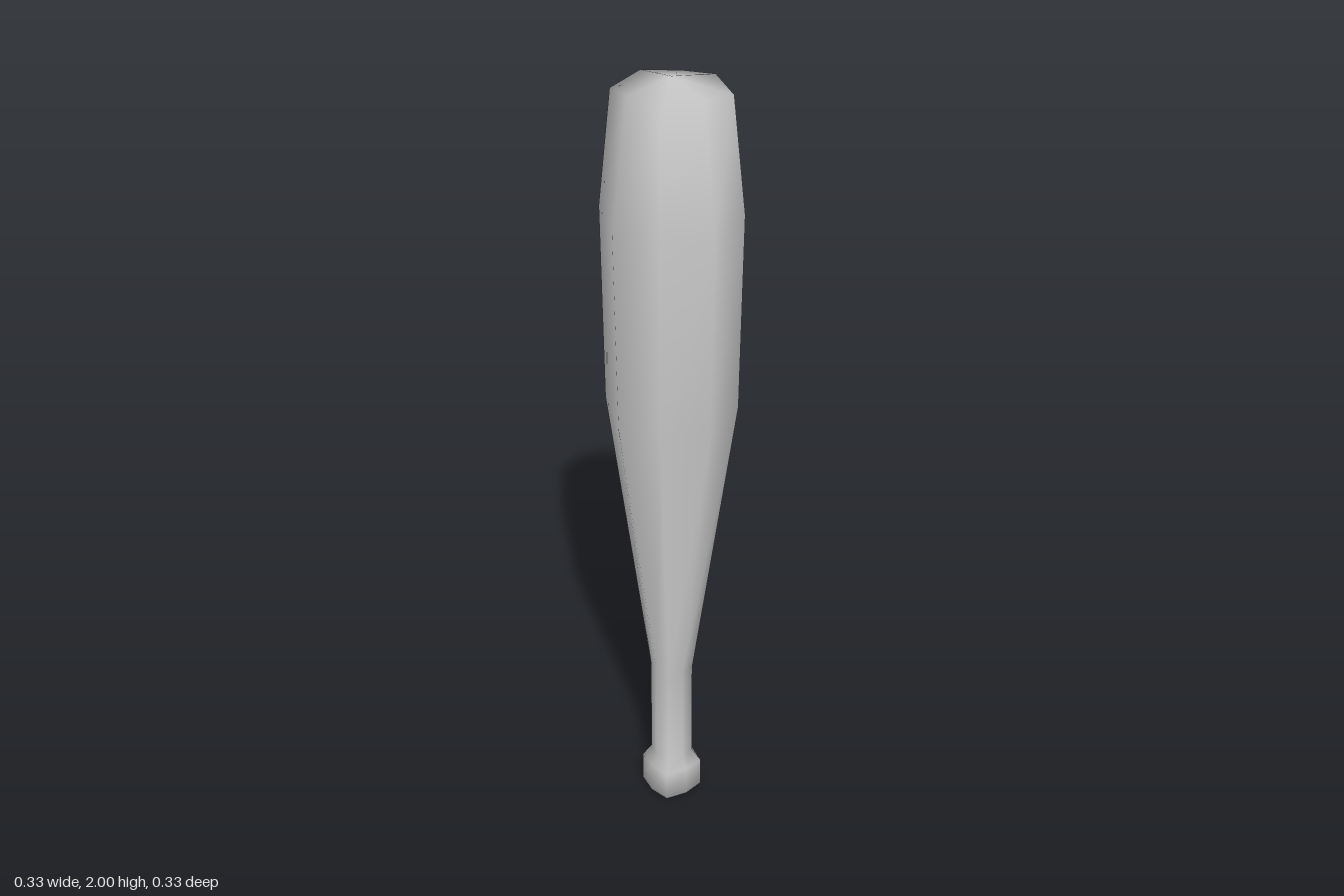
import * as THREE from 'three';

const SIDES = 8;

// Cross-sections from bottom to top: [axis radius, axis y, diagonal radius, diagonal y]
const RINGS = [
  [0.067, 0, 0.079, 0], // knob bottom
  [0.067, 0.085, 0.079, 0.08], // knob top edge
  [0.05, 0.11, 0.055, 0.115], // grip start
  [0.05, 0.4, 0.055, 0.39], // grip end
  [0.156, 1.155, 0.163, 1.18], // barrel start
  [0.165, 1.66, 0.17, 1.68], // widest part of the barrel
  [0.122, 1.98, 0.14, 1.965], // rim of the tip
];

// Joins the octagonal cross-sections into one closed smooth skin
function loft(rings, bottomY, topY) {
  const positions = [];
  const index = [];
  for (const [axisR, axisY, diagR, diagY] of rings) {
    for (let i = 0; i < SIDES; i++) {
      const a = (i / SIDES) * Math.PI * 2;
      const r = i % 2 ? diagR : axisR;
      positions.push(r * Math.cos(a), i % 2 ? diagY : axisY, r * Math.sin(a));
    }
  }
  const last = (rings.length - 1) * SIDES;
  const bottom = rings.length * SIDES;
  const top = bottom + 1;
  positions.push(0, bottomY, 0, 0, topY, 0);

  for (let i = 0; i < SIDES; i++) {
    const j = (i + 1) % SIDES;
    for (let k = 0; k < last; k += SIDES) {
      const a = k + i, b = k + j, c = a + SIDES, d = b + SIDES;
      index.push(a, c, b, b, c, d);
    }
    index.push(bottom, i, j); // knob cap
    index.push(top, last + j, last + i); // domed tip
  }

  const geometry = new THREE.BufferGeometry();
  geometry.setAttribute('position', new THREE.Float32BufferAttribute(positions, 3));
  geometry.setIndex(index);
  geometry.computeVertexNormals();
  return geometry;
}

export function createModel() {
  const group = new THREE.Group();
  group.name = 'baseballBat';
  const material = new THREE.MeshStandardMaterial({ color: 0xcccccc });
  const bat = new THREE.Mesh(loft(RINGS, 0, 2), material);
  bat.name = 'batBody';
  group.add(bat);
  return group;
}
